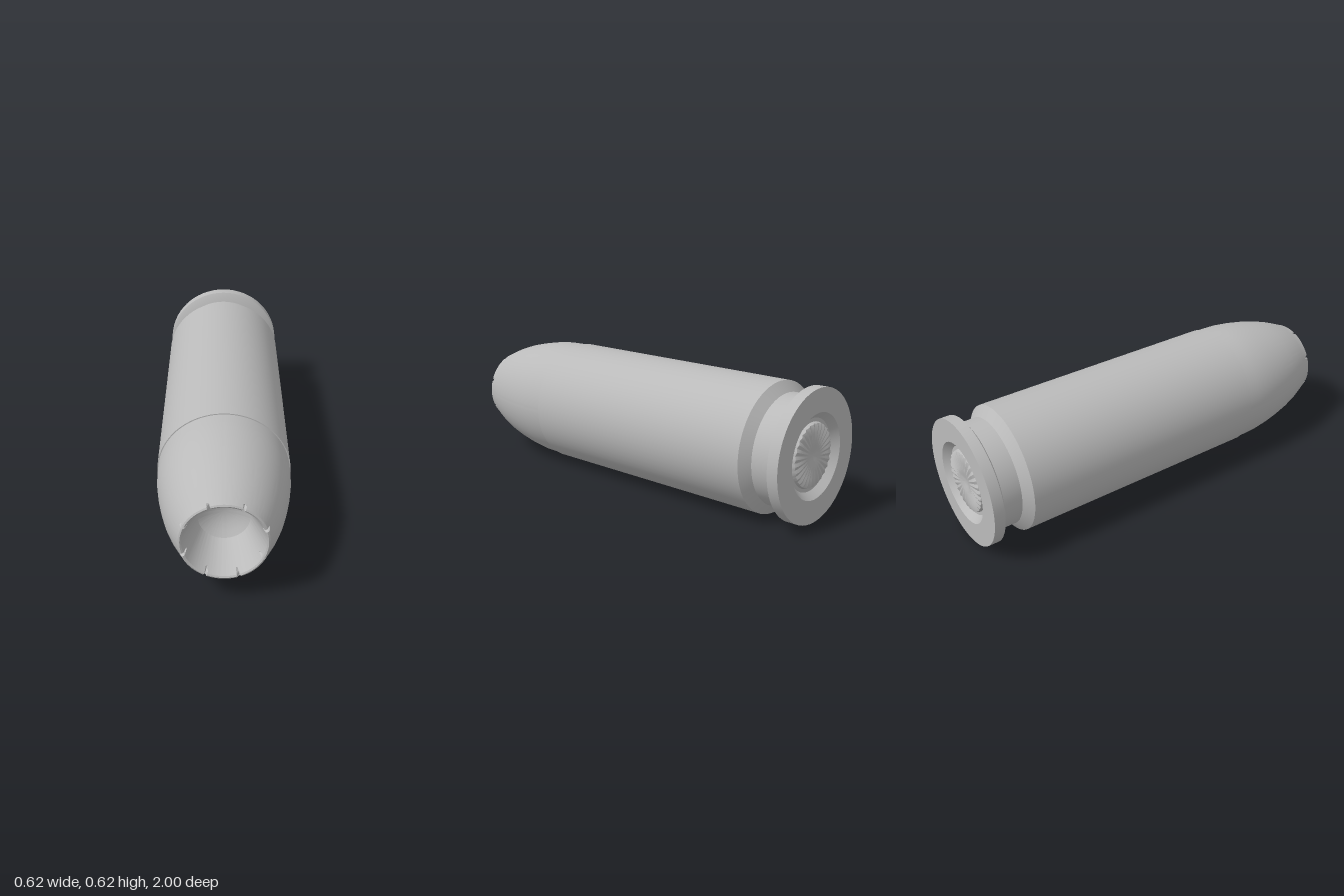
import * as THREE from 'three';
import { toCreasedNormals } from 'three/addons/utils/BufferGeometryUtils.js';

const AXIS_Y = 0.308;

// Spins a [radius, z] profile (listed back to front) about the z axis.
// reshape(radius, z, step) may return a new z for each vertex.
function spin(name, profile, segments, material, { phase = 0, crease = 0.5, reshape } = {}) {
  const points = profile.map(([r, z]) => new THREE.Vector2(r, z));
  const geometry = new THREE.LatheGeometry(points, segments, phase);
  if (reshape) {
    const pos = geometry.attributes.position;
    for (let i = 0; i < pos.count; i++) {
      const [r, z] = profile[i % profile.length];
      pos.setY(i, reshape(r, z, Math.floor(i / profile.length)));
    }
  }
  geometry.rotateX(Math.PI / 2);
  const mesh = new THREE.Mesh(toCreasedNormals(geometry, crease), material);
  mesh.name = name;
  mesh.position.y = AXIS_Y;
  return mesh;
}

export function createModel() {
  const group = new THREE.Group();
  group.name = 'cartridge';
  const metal = new THREE.MeshStandardMaterial({ color: 0xbababa });
  metal.name = 'grey metal';

  // Case: primer pocket, rim, extractor groove, body and thin mouth
  group.add(spin('case', [
    [0.15, -0.968], [0.168, -0.968], [0.198, -1], [0.308, -1], [0.308, -0.948],
    [0.29, -0.938], [0.26, -0.928], [0.26, -0.837], [0.308, -0.8],
    [0.308, 0.47], [0.302, 0.47], [0.302, 0.44],
  ], 64, metal));

  // Primer: central dimple and fine radial pleats
  group.add(spin('primer', [
    [0, -0.978], [0.025, -0.98], [0.045, -0.986], [0.07, -0.988], [0.105, -0.988],
    [0.132, -0.987], [0.146, -0.982], [0.152, -0.966],
  ], 112, metal, {
    reshape: (r, z, step) =>
      r > 0.06 && r < 0.15 ? z + 0.003 * (r / 0.146) * Math.cos(step * Math.PI / 2) : z,
  }));

  // Bullet: curved nose, rounded notched lip and a hollow with a dished floor
  group.add(spin('bullet', [
    [0.303, 0.44], [0.303, 0.53], [0.301, 0.59], [0.291, 0.67], [0.277, 0.745],
    [0.259, 0.82], [0.236, 0.89], [0.211, 0.95], [0.198, 0.977],
    [0.195, 0.986], [0.191, 0.996], [0.184, 1], [0.177, 0.996], [0.173, 0.985],
    [0.165, 0.962], [0.113, 0.82],
    [0.09, 0.805], [0.06, 0.79], [0.03, 0.782], [0, 0.78],
  ], 160, metal, {
    phase: THREE.MathUtils.degToRad(109.5),
    reshape: (r, z, step) => (step % 20 === 0 && z > 0.98 ? z - 0.022 : z),
  }));

  return group;
}
